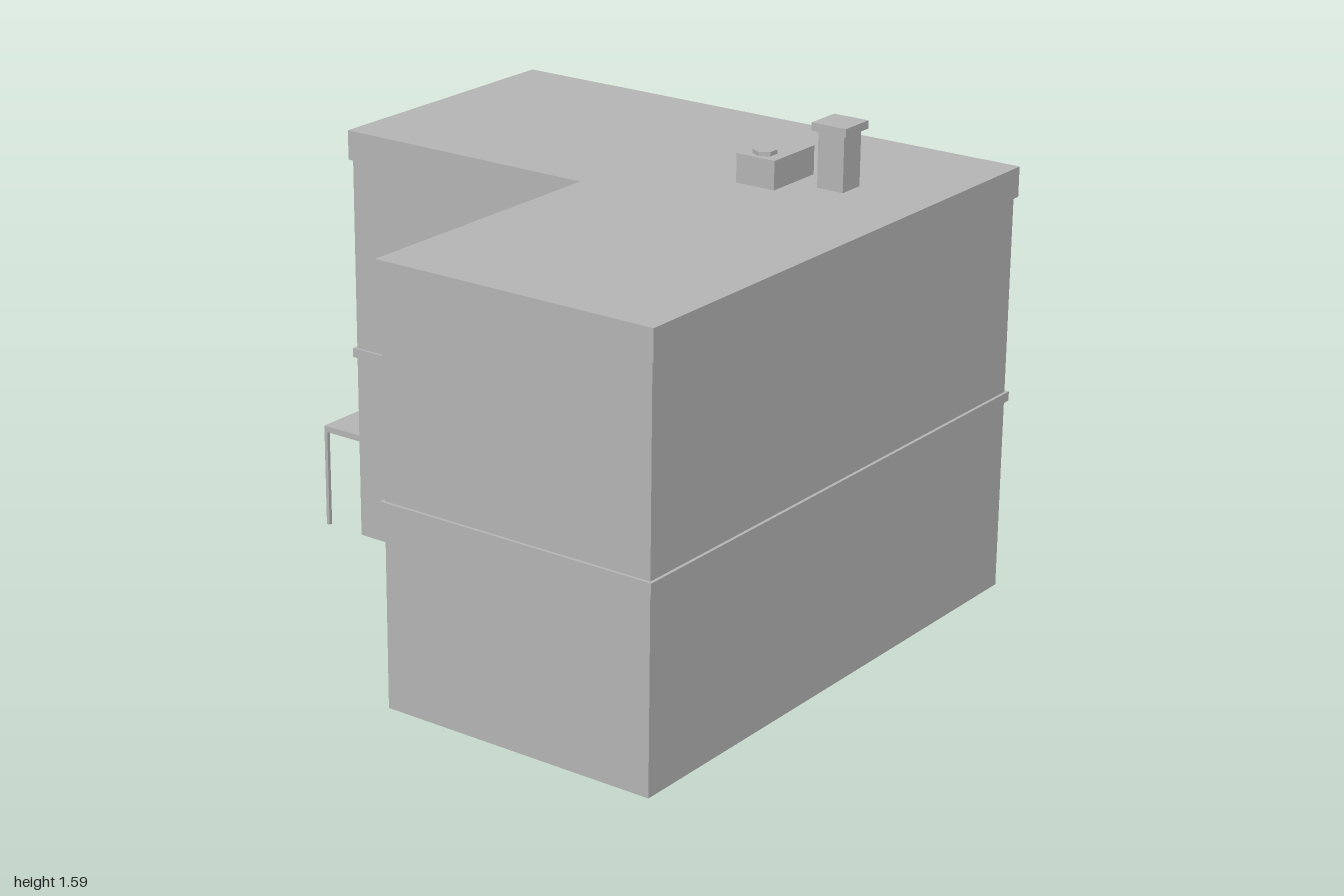
import * as THREE from 'three';

export function createModel() {
  const group = new THREE.Group();
  const grey = new THREE.MeshStandardMaterial({ color: 0xb4b4b4 });
  grey.name = 'plain grey';

  const add = (name, geometry) => {
    const mesh = new THREE.Mesh(geometry, grey);
    mesh.name = name;
    group.add(mesh);
    return mesh;
  };
  const box = (name, x0, x1, y0, y1, z0, z1) =>
    add(name, new THREE.BoxGeometry(x1 - x0, y1 - y0, z1 - z0))
      .position.set((x0 + x1) / 2, (y0 + y1) / 2, (z0 + z1) / 2);
  const rect = (x0, x1, y0, y1) => [[x0, y0], [x1, y0], [x1, y1], [x0, y1]]
    .map(([x, y]) => new THREE.Vector2(x, y));

  // L-shaped storey or band: grow widens every side, inset pulls in the rear walls
  const slab = (name, y0, y1, grow, inset = 0) => {
    const w = 0.92 + grow, front = 0.99 + grow, inner = 0.01 - grow;
    const rear = -0.85 - grow + inset, wing = 0.06 - grow + inset;
    const shape = new THREE.Shape([
      [-w, front], [w, front], [w, rear], [inner, rear], [inner, wing], [-w, wing],
    ].map(([x, z]) => new THREE.Vector2(x, -z)));
    const geometry = new THREE.ExtrudeGeometry(shape, { depth: y1 - y0, bevelEnabled: false });
    add(name, geometry.rotateX(-Math.PI / 2).translate(0, y0, 0));
  };
  const RECESS = 0.025, BASE = 0.02, TOP = 1.3;
  slab('buildingCore', BASE, TOP, 0, RECESS);
  slab('storeyBand', 0.635, 0.665, 0.01);
  slab('roofCornice', 1.29, 1.385, 0.01);

  // Rear wall skins with openings, and raised frames around the windows
  const RIM = 0.02;
  const rearWall = (name, outline, z, windows) => {
    const wall = new THREE.Shape(outline);
    for (const [x0, x1, y0, y1] of windows) {
      const hole = rect(x0 + RIM, x1 - RIM, y0 + RIM, y1 - RIM);
      wall.holes.push(new THREE.Path(hole));
      const frame = new THREE.Shape(rect(x0, x1, y0, y1));
      frame.holes.push(new THREE.Path(hole));
      add('windowFrame', new THREE.ExtrudeGeometry(frame, { depth: 0.014, bevelEnabled: false }))
        .position.z = z - 0.014;
    }
    add(name, new THREE.ExtrudeGeometry(wall, { depth: RECESS, bevelEnabled: false })).position.z = z;
  };
  const upper = [0.825, 1.155], lower = [0.175, 0.505];
  // The long wing has a wide doorway open to the ground
  const doorway = [[0.01, BASE], [0.275, BASE], [0.275, 0.5], [0.64, 0.5], [0.64, BASE],
    [0.92, BASE], [0.92, TOP], [0.01, TOP]].map(([x, y]) => new THREE.Vector2(x, y));
  rearWall('longWingRearWall', doorway, -0.85, [[0.285, 0.65, ...upper]]);
  const wingWindows = [];
  for (const [x0, x1] of [[-0.37, -0.12], [-0.775, -0.53]])
    for (const rows of [upper, lower]) wingWindows.push([x0, x1, ...rows]);
  rearWall('shortWingRearWall', rect(-0.92, 0.01, BASE, TOP), 0.06, wingWindows);

  // Small side door under a canopy on two posts
  box('sideDoor', 0.05, 0.24, 0, 0.32, -0.853, -0.849);
  box('canopy', 0.01, 0.275, 0.345, 0.365, -1, -0.85);
  for (const x of [0.01, 0.263]) box('canopyPost', x, x + 0.012, BASE, 0.345, -1, -0.988);

  // Rooftop chimney and vent unit
  box('chimneyShaft', 0.375, 0.465, 1.38, 1.56, 0.64, 0.73);
  box('chimneyCap', 0.36, 0.48, 1.56, 1.585, 0.625, 0.745);
  box('ventUnit', 0.275, 0.485, 1.38, 1.475, 0.42, 0.555);
  const lid = new THREE.CylinderGeometry(0.037, 0.037, 0.014, 6).rotateY(Math.PI / 6).toNonIndexed();
  lid.computeVertexNormals();
  add('ventLid', lid).position.set(0.325, 1.481, 0.487);

  return group;
}
